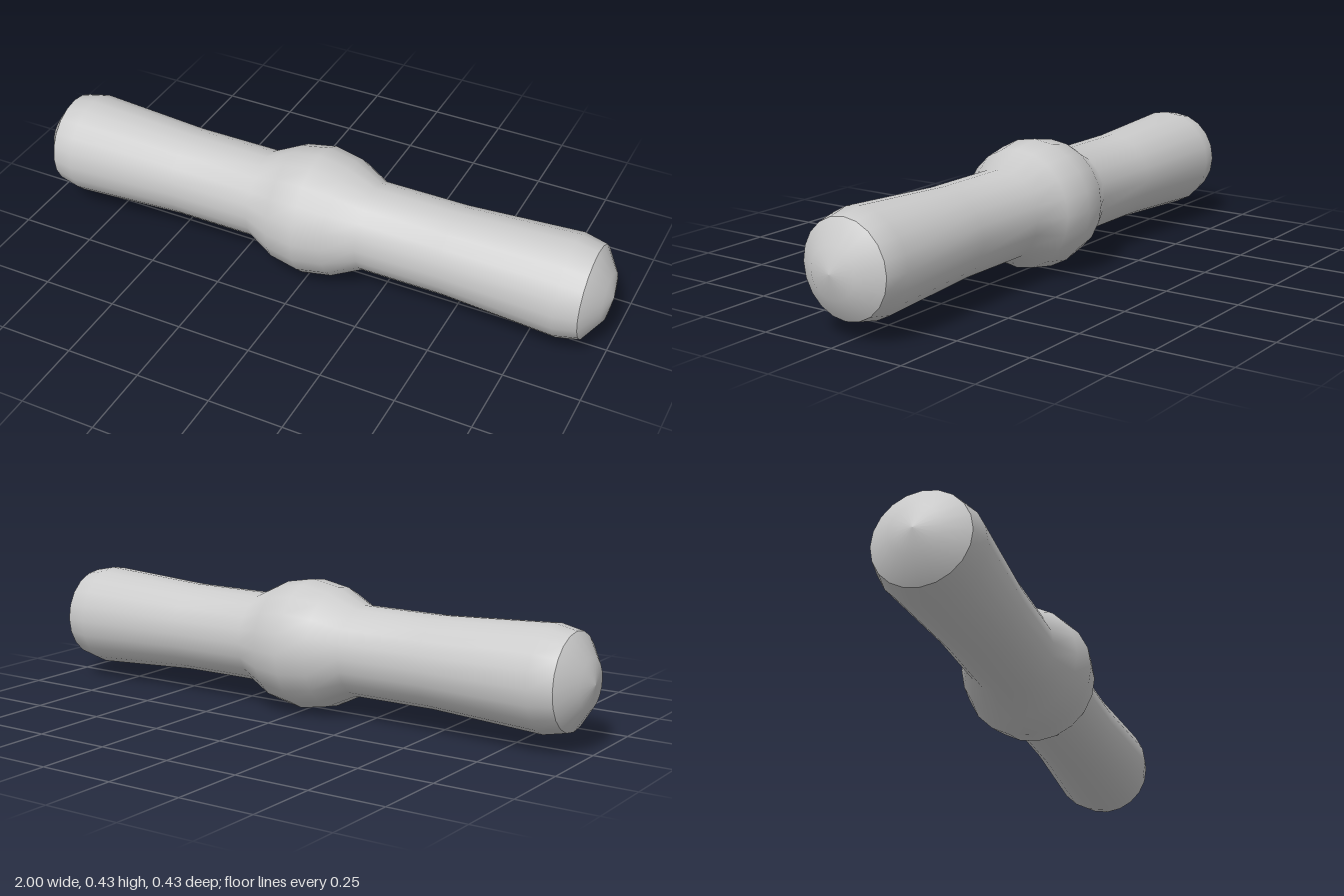
import * as THREE from 'three';

const SIDES = 20;
const CENTRE_Y = 0.2135;

export function createModel() {
  const group = new THREE.Group();
  group.name = 'roundedBar';
  const material = new THREE.MeshStandardMaterial({ color: 0xcccccc });

  // Turns a profile of [position along x, radius] about the x axis
  const turned = (name, profile) => {
    const points = profile.map(([x, r]) => new THREE.Vector2(r, x));
    const geometry = new THREE.LatheGeometry(points, SIDES).rotateZ(-Math.PI / 2);
    const mesh = new THREE.Mesh(geometry, material);
    mesh.name = name;
    mesh.position.y = CENTRE_Y;
    group.add(mesh);
    return mesh;
  };

  // Shaft: bulge in the middle, straight necks, flared ends with a bevel
  const half = [[0.098, 0.196], [0.195, 0.148], [0.48, 0.148], [0.86, 0.169], [0.935, 0.153]];
  const mirrored = half.map(([x, r]) => [-x, r]).reverse();
  turned('shaft', [...mirrored, [0, 0.2135], ...half]);

  // Domed end caps, meeting the shaft at a sharp edge
  const dome = [[0.935, 0.153], [0.985, 0.08], [1, 0]];
  turned('leftCap', dome);
  turned('rightCap', dome).rotation.y = Math.PI;

  return group;
}
